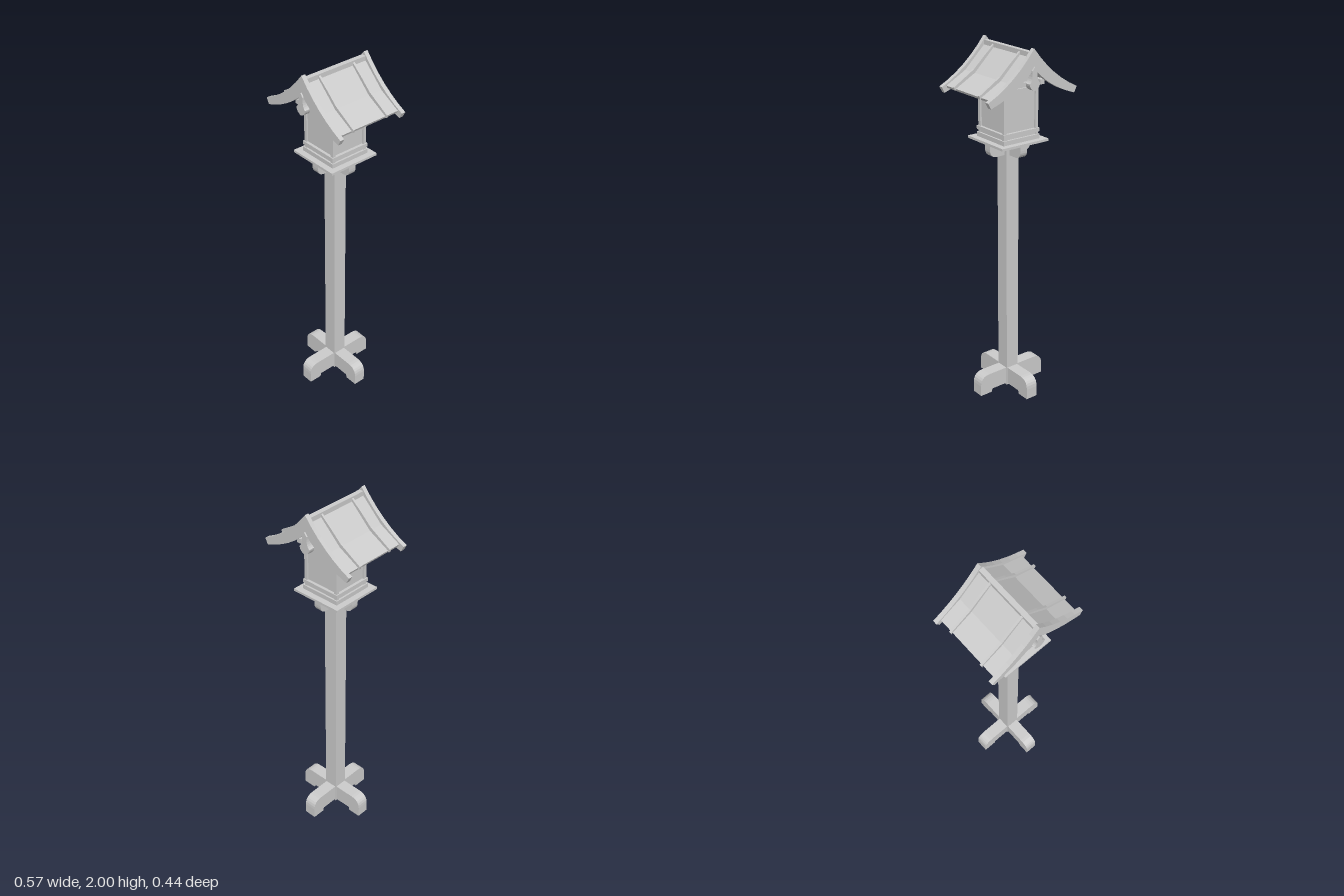
import * as THREE from 'three';

const material = new THREE.MeshStandardMaterial({ color: 0xcccccc, flatShading: true, side: THREE.DoubleSide });

export function createModel() {
  const model = new THREE.Group();

  const add = (name, geometry) => {
    const mesh = new THREE.Mesh(geometry, material);
    mesh.name = name;
    model.add(mesh);
    return mesh;
  };
  const box = (name, w, h, d, x, y, z) => {
    const mesh = add(name, new THREE.BoxGeometry(w, h, d));
    mesh.position.set(x, y, z);
    return mesh;
  };
  // Outline in x/y, extruded along z around a centre
  const slab = (name, shape, depth, z = 0) => {
    const geometry = new THREE.ExtrudeGeometry(shape, { depth, bevelEnabled: false, curveSegments: 6 });
    geometry.translate(0, 0, z - depth / 2);
    return add(name, geometry);
  };
  const polygon = (points) => new THREE.Shape(points.map(([x, y]) => new THREE.Vector2(x, y)));
  const mirrored = (points) => points.concat(points.filter((p) => p[0] > 0).map(([x, y]) => [-x, y]).reverse());

  // Rounded beam with a shallow notch in its flat side
  const beamShape = (half, height, radius, notchHalf, notch) => {
    const s = new THREE.Shape();
    s.moveTo(-half, 0);
    s.lineTo(-half, height - radius);
    s.quadraticCurveTo(-half, height, -half + radius, height);
    s.lineTo(half - radius, height);
    s.quadraticCurveTo(half, height, half, height - radius);
    s.lineTo(half, 0);
    s.lineTo(notchHalf, 0);
    s.lineTo(notchHalf - 0.005, notch);
    s.lineTo(-notchHalf + 0.005, notch);
    s.lineTo(-notchHalf, 0);
    return s;
  };

  // Crossed feet, post and crossed brackets
  box('post', 0.08, 1.47, 0.08, 0, 0.745, 0);
  for (const turn of [0, Math.PI / 2]) {
    slab('foot', beamShape(0.22, 0.122, 0.06, 0.145, 0.02), 0.07).rotation.y = turn;
    const bracket = slab('bracket', beamShape(0.135, 0.075, 0.045, 0.095, 0.014), 0.044);
    bracket.rotation.set(0, turn, Math.PI);
    bracket.position.y = 1.482;
  }

  // Platform and lantern box
  box('platform', 0.304, 0.013, 0.304, 0, 1.4875, 0);
  box('sill', 0.236, 0.024, 0.236, 0, 1.506, 0);
  box('panels', 0.204, 0.27, 0.204, 0, 1.64, 0);
  for (const sx of [-1, 1]) {
    for (const sz of [-1, 1]) box('cornerPost', 0.018, 0.28, 0.018, sx * 0.103, 1.638, sz * 0.103);
  }
  for (const turn of [0, Math.PI / 2, Math.PI, -Math.PI / 2]) {
    const side = new THREE.Group();
    side.name = 'wallRails';
    side.rotation.y = turn;
    side.add(
      box('lowerRail', 0.236, 0.02, 0.016, 0, 1.542, 0.11),
      box('middleRail', 0.222, 0.01, 0.012, 0, 1.524, 0.103),
      box('topRail', 0.224, 0.018, 0.018, 0, 1.769, 0.103)
    );
    model.add(side);
  }
  box('ceiling', 0.2, 0.008, 0.2, 0, 1.774, 0);

  // Beams under the roof and gable walls
  for (const s of [-1, 1]) {
    box('crossBeam', 0.25, 0.024, 0.026, 0, 1.79, s * 0.09);
    box('purlin', 0.026, 0.026, 0.35, s * 0.085, 1.813, 0);
    slab('gableWall', polygon([[-0.1, 1.8], [0.1, 1.8], [0.1, 1.825], [0, 1.93], [-0.1, 1.825]]), 0.012, s * 0.08);
    box('kingPost', 0.026, 0.13, 0.02, 0, 1.85, s * 0.092);
  }

  // Roof boards folded once on each slope, with a ridge
  slab('roofBoards', polygon(mirrored([
    [0, 1.968], [0.135, 1.838], [0.256, 1.772], [0.25, 1.759], [0.128, 1.822], [0, 1.946],
  ]).filter(([x, y], i) => !(x === 0 && y === 1.968 && i > 0))), 0.38);
  box('ridge', 0.027, 0.034, 0.38, 0, 1.963, 0);

  // Battens standing above the boards
  for (const s of [-1, 1]) {
    for (const side of [-1, 1]) {
      slab('batten', polygon([
        [0.01, 1.974], [0.08, 1.914], [0.14, 1.858], [0.267, 1.781], [0.262, 1.764], [0.135, 1.834], [0.01, 1.95],
      ].map(([x, y]) => [side * x, y])), 0.012, s * 0.11);
    }

    // Curved bargeboards meeting in a sharp peak
    const barge = new THREE.Shape();
    barge.moveTo(0, 2);
    barge.quadraticCurveTo(0.12, 1.845, 0.285, 1.768);
    barge.lineTo(0.268, 1.736);
    barge.quadraticCurveTo(0.1, 1.79, 0, 1.9);
    barge.quadraticCurveTo(-0.1, 1.79, -0.268, 1.736);
    barge.lineTo(-0.285, 1.768);
    barge.quadraticCurveTo(-0.12, 1.845, 0, 2);
    slab('bargeboard', barge, 0.024, s * 0.201);

    // Hanging gable ornament
    const pendant = new THREE.Shape();
    pendant.moveTo(0, 1.91);
    pendant.lineTo(0.016, 1.89);
    pendant.quadraticCurveTo(0.012, 1.84, 0.033, 1.825);
    pendant.quadraticCurveTo(0.03, 1.795, 0, 1.787);
    pendant.quadraticCurveTo(-0.03, 1.795, -0.033, 1.825);
    pendant.quadraticCurveTo(-0.012, 1.84, -0.016, 1.89);
    slab('gablePendant', pendant, 0.034, s * 0.204);
  }

  return model;
}
